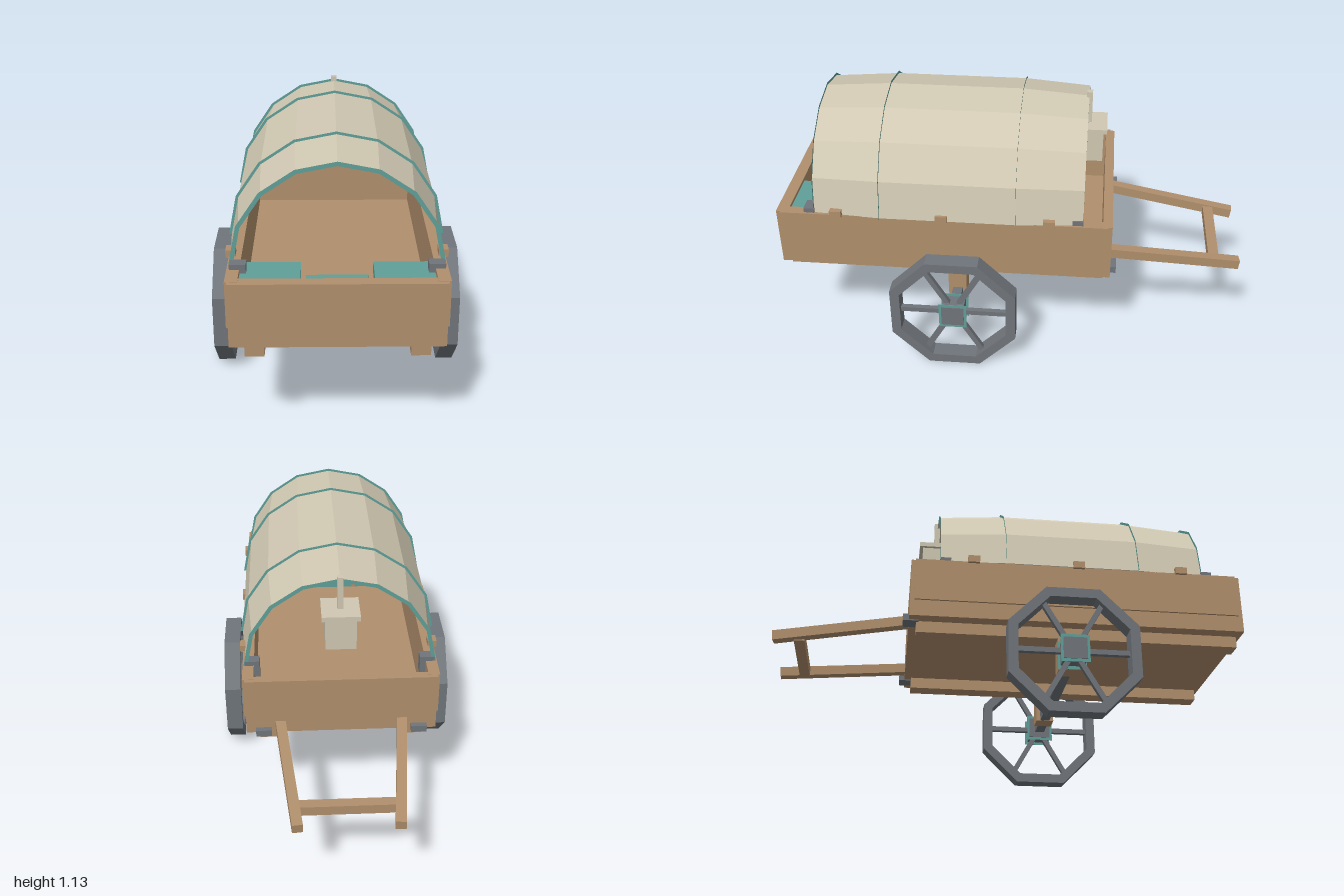
import * as THREE from 'three';

const wood = new THREE.MeshStandardMaterial({ color: 0xb08f6c });
const iron = new THREE.MeshStandardMaterial({ color: 0x70757b });
const teal = new THREE.MeshStandardMaterial({ color: 0x5f9f99, side: THREE.DoubleSide });
const canvas = new THREE.MeshStandardMaterial({ color: 0xd0c8b2, side: THREE.DoubleSide });
for (const [n, m] of Object.entries({ wood, iron, teal, canvas })) m.name = n;

function add(parent, name, geometry, material) {
  const mesh = new THREE.Mesh(geometry, material);
  mesh.name = name;
  parent.add(mesh);
  return mesh;
}

// Box given by its limits on each axis
function box(parent, name, mat, [x0, x1], [y0, y1], [z0, z1]) {
  const mesh = add(parent, name, new THREE.BoxGeometry(x1 - x0, y1 - y0, z1 - z0), mat);
  mesh.position.set((x0 + x1) / 2, (y0 + y1) / 2, (z0 + z1) / 2);
  return mesh;
}

// Same box on both sides of the cart
function pair(parent, name, mat, [x0, x1], y, z) {
  box(parent, 'left ' + name, mat, [x0, x1], y, z);
  box(parent, 'right ' + name, mat, [-x1, -x0], y, z);
}

function octagon(Type, apothem) {
  const s = new Type(), r = apothem / Math.cos(Math.PI / 8);
  for (let i = 0; i < 8; i++) {
    const a = (i + 0.5) * Math.PI / 4;
    if (i) s.lineTo(r * Math.cos(a), r * Math.sin(a));
    else s.moveTo(r * Math.cos(a), r * Math.sin(a));
  }
  s.closePath();
  return s;
}

// Wheel lies in its local xy plane, axle along local z
function wheel(side) {
  const g = new THREE.Group();
  g.name = side > 0 ? 'left wheel' : 'right wheel';
  const rim = octagon(THREE.Shape, 0.272);
  rim.holes.push(octagon(THREE.Path, 0.231));
  const rimGeo = new THREE.ExtrudeGeometry(rim, { depth: 0.073, bevelEnabled: false });
  add(g, 'rim', rimGeo.translate(0, 0, -0.0365), iron);
  for (let i = 0; i < 6; i++) {
    const spoke = new THREE.BoxGeometry(0.23, 0.022, 0.022).translate(0.135, 0, 0);
    add(g, 'spoke', spoke, iron).rotation.z = i * Math.PI / 3;
  }
  box(g, 'hub', iron, [-0.049, 0.049], [-0.047, 0.047], [-0.043, 0.043]);
  for (const z of [-0.039, 0.039])
    box(g, 'hub plate', teal, [-0.06, 0.06], [-0.06, 0.06], [z - 0.001, z + 0.001]);
  g.rotation.y = Math.PI / 2;
  g.position.set(side * 0.4835, 0.273, 0.24);
  return g;
}

export function createModel() {
  const cart = new THREE.Group();
  cart.name = 'covered cart';

  // Cart bed
  box(cart, 'floor', wood, [-0.40, 0.40], [0.44, 0.465], [-0.42, 0.99]);
  box(cart, 'front board', wood, [-0.402, 0.402], [0.44, 0.70], [0.95, 1.0]);
  box(cart, 'back board', wood, [-0.402, 0.402], [0.44, 0.70], [-0.43, -0.39]);
  pair(cart, 'lower side board', wood, [0.367, 0.406], [0.44, 0.512], [-0.429, 0.999]);
  pair(cart, 'upper side board', wood, [0.367, 0.415], [0.512, 0.701], [-0.412, 0.98]);
  pair(cart, 'corner filler front', wood, [0.367, 0.406], [0.512, 0.70], [0.98, 0.999]);
  pair(cart, 'corner filler back', wood, [0.367, 0.406], [0.512, 0.70], [-0.429, -0.412]);

  // Undercarriage
  pair(cart, 'runner', wood, [0.275, 0.35], [0.39, 0.44], [-0.40, 0.98]);
  pair(cart, 'axle bracket', wood, [0.275, 0.35], [0.25, 0.39], [0.20, 0.28]);
  pair(cart, 'runner clip', iron, [0.298, 0.365], [0.435, 0.465], [-0.455, -0.39]);
  box(cart, 'axle', iron, [-0.45, 0.45], [0.252, 0.295], [0.218, 0.261]);
  cart.add(wheel(1), wheel(-1));

  // Pulling shafts
  for (const s of [1, -1]) {
    const a = new THREE.Vector3(s * 0.261, 0.476, -0.42);
    const b = new THREE.Vector3(s * 0.20, 0.403, -0.998);
    const shaft = add(cart, s > 0 ? 'left shaft' : 'right shaft',
      new THREE.BoxGeometry(0.043, 0.043, a.distanceTo(b)), wood);
    shaft.position.copy(a).add(b).multiplyScalar(0.5);
    shaft.lookAt(a);
  }
  box(cart, 'shaft crossbar', wood, [-0.205, 0.205], [0.39, 0.432], [-0.91, -0.865]);

  // Rail blocks and iron cover brackets
  for (const z of [0.738, 0.288, -0.165])
    pair(cart, 'rail block', wood, [0.39, 0.428], [0.695, 0.726], [z - 0.025, z + 0.025]);
  for (const z of [0.855, -0.285]) {
    pair(cart, 'cover bracket', iron, [0.342, 0.405], [0.70, 0.721], [z - 0.023, z + 0.023]);
    pair(cart, 'bracket drop', iron, [0.342, 0.367], [0.64, 0.70], [z - 0.023, z + 0.023]);
  }

  // Canvas cover: half-round faceted tunnel, slightly barrelled
  const profile = [[0.40, -0.307], [0.421, -0.025], [0.421, 0.55], [0.40, 0.834]]
    .map(([r, z]) => new THREE.Vector2(r, z));
  const tunnel = new THREE.LatheGeometry(profile, 8, Math.PI / 2, Math.PI)
    .rotateX(Math.PI / 2).translate(0, 0.70, 0).toNonIndexed();
  tunnel.computeVertexNormals();
  add(cart, 'canvas cover', tunnel, canvas);

  // Flat hoops at the canvas seams
  for (const { x: r, y: z } of profile)
    add(cart, 'cover hoop', new THREE.RingGeometry(r - 0.006, r + 0.011, 8, 1, 0, Math.PI), teal)
      .position.set(0, 0.70, z);

  // Lantern at the back end
  const lantern = new THREE.Group();
  lantern.name = 'lantern';
  box(lantern, 'lantern body', canvas, [-0.065, 0.065], [0.815, 0.957], [-0.374, -0.244]);
  box(lantern, 'lantern lid', canvas, [-0.08, 0.08], [0.957, 0.978], [-0.389, -0.229]);
  box(lantern, 'lantern post', canvas, [-0.0125, 0.0125], [0.978, 1.122], [-0.321, -0.296]);
  cart.add(lantern);

  // Cargo compartments at the front
  pair(cart, 'side cargo', teal, [0.138, 0.366], [0.465, 0.685], [0.78, 0.95]);
  box(cart, 'middle cargo', teal, [-0.12, 0.12], [0.465, 0.63], [0.78, 0.95]);
  pair(cart, 'cargo divider', wood, [0.12, 0.138], [0.465, 0.64], [0.78, 0.95]);

  return cart;
}
